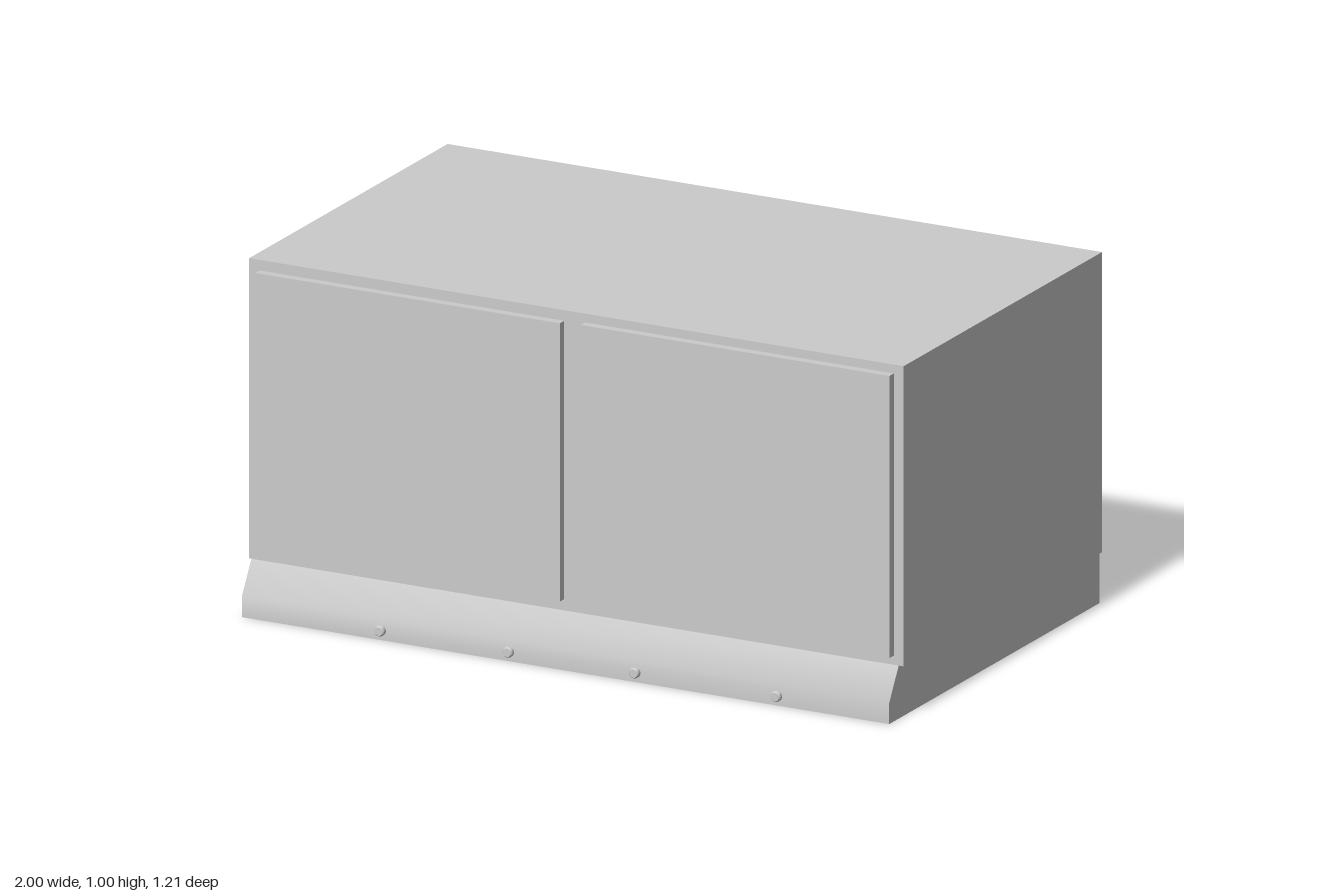
import * as THREE from 'three';
import { toCreasedNormals } from 'three/addons/utils/BufferGeometryUtils.js';

export function createModel() {
  const group = new THREE.Group();
  const material = new THREE.MeshStandardMaterial({ color: 0xcccccc });

  const add = (name, geometry) => {
    const mesh = new THREE.Mesh(geometry, material);
    mesh.name = name;
    group.add(mesh);
    return mesh;
  };

  // Box given by its lower and upper corners
  const addBox = (name, [x0, y0, z0], [x1, y1, z1]) =>
    add(name, new THREE.BoxGeometry(x1 - x0, y1 - y0, z1 - z0))
      .position.set((x0 + x1) / 2, (y0 + y1) / 2, (z0 + z1) / 2);

  // Cabinet body and its two front panels
  addBox('cabinetBody', [-1, 0.15, -0.592], [1, 1, 0.54]);
  addBox('rightDoor', [-0.968, 0.182, 0.53], [-0.037, 0.97, 0.565]);
  addBox('leftDoor', [0.027, 0.176, 0.53], [0.97, 0.975, 0.565]);

  // Base: side profile (z, y) with a sloped front, softly shaded at the bend
  const profile = new THREE.Shape([
    [-0.605, 0], [0.594, 0], [0.594, 0.06], [0.54, 0.15], [-0.605, 0.15],
  ].map(([z, y]) => new THREE.Vector2(z, y)));
  const base = new THREE.ExtrudeGeometry(profile, { depth: 1.978, bevelEnabled: false });
  base.rotateY(-Math.PI / 2).translate(0.985, 0, 0);
  add('base', toCreasedNormals(base, 0.7));

  // Control knobs along the base front, with a slightly chamfered face
  const knob = new THREE.LatheGeometry([
    [0.015, -0.01], [0.015, 0.01], [0.012, 0.014], [0, 0.014],
  ].map(([r, h]) => new THREE.Vector2(r, h)), 20);
  const knobGeometry = toCreasedNormals(knob.rotateX(Math.PI / 2), 0.5);
  [-0.568, -0.176, 0.21, 0.643].forEach((x, i) =>
    add(`knob${i + 1}`, knobGeometry).position.set(x, 0.028, 0.594));

  return group;
}
